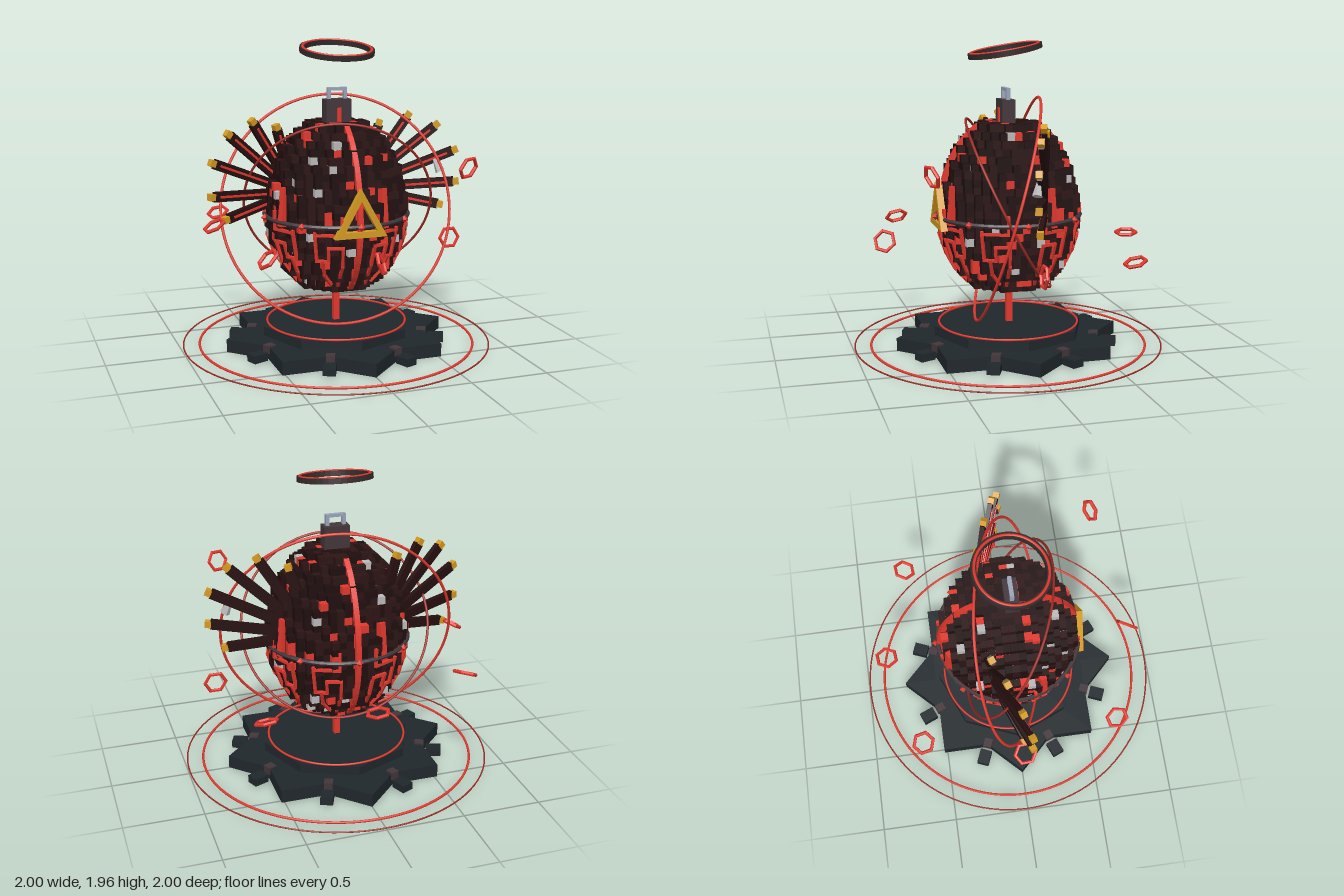
import * as THREE from 'three';
import { mergeGeometries } from 'three/addons/utils/BufferGeometryUtils.js';

const mat = (color, flatShading = true) => new THREE.MeshStandardMaterial({ color, flatShading });
const M = {
  slate: mat(0x20272c), brown: mat(0x43363a), red: mat(0xe2382d), redRound: mat(0xe2382d, false),
  darkRed: mat(0xa02a24, false), shellA: mat(0x2c1414), shellB: mat(0x200e0e), feather: mat(0x271010),
  pale: mat(0xb9b9b9), steel: mat(0x9aa5b8), gold: mat(0xd49a22), halo: mat(0x352a2a),
};
const V = (x, y, z) => new THREE.Vector3(x, y, z);
const Z = V(0, 0, 1);

function add(parent, name, geo, material, x = 0, y = 0, z = 0) {
  const m = new THREE.Mesh(geo, material);
  m.name = name;
  m.position.set(x, y, z);
  parent.add(m);
  return m;
}
const box = (w, h, d, x = 0, y = 0, z = 0) => new THREE.BoxGeometry(w, h, d).translate(x, y, z);

// ring whose axis points along n
function ring(parent, name, r, tube, material, pos, n, radial = 8, segs = 96) {
  const m = add(parent, name, new THREE.TorusGeometry(r, tube, radial, segs), material, ...pos);
  m.quaternion.setFromUnitVectors(Z, V(...n).normalize());
  return m;
}

// square bar from p to q
function bar(p, q, w) {
  const o = new THREE.Object3D();
  o.position.copy(p).lerp(q, 0.5);
  o.lookAt(q);
  o.updateMatrix();
  return new THREE.BoxGeometry(w, w, p.distanceTo(q) + w * 0.8).applyMatrix4(o.matrix);
}

// egg profile and a point on its surface at azimuth a (0 = front)
const eggR = (y) => {
  const t = (y - 0.87) / (y > 0.87 ? 0.62 : 0.54);
  return 0.44 * Math.sqrt(Math.max(0, 1 - t * t));
};
const onEgg = (a, y, lift = 0.02) => {
  const r = eggR(y) + lift;
  return V(Math.sin(a) * r, y, Math.cos(a) * r);
};

function buildBase(g) {
  const base = new THREE.Group();
  base.name = 'base';
  g.add(base);
  add(base, 'baseSquare', box(1.04, 0.085, 1.04), M.slate, 0, 0.0425, 0);
  add(base, 'baseDiamond', box(1.04, 0.084, 1.04), M.slate, 0, 0.0425, 0).rotation.y = Math.PI / 4;
  add(base, 'upperPlate', new THREE.CylinderGeometry(0.49, 0.49, 0.06, 8), M.slate, 0, 0.115, 0);
  for (let i = 0; i < 8; i++) {
    const spoke = new THREE.Group();
    spoke.name = 'baseTeeth';
    spoke.rotation.y = Math.PI / 8 + (i * Math.PI) / 4;
    base.add(spoke);
    add(spoke, 'tooth', box(0.08, 0.05, 0.1), M.slate, 0, 0.035, 0.65);
    add(spoke, 'clamp', box(0.055, 0.05, 0.06), M.brown, 0, 0.07, 0.555);
  }
  ring(base, 'plateRing', 0.45, 0.007, M.redRound, [0, 0.15, 0], [0, 1, 0]);
  ring(base, 'innerGroundRing', 0.89, 0.008, M.redRound, [0, 0.01, 0], [0, 1, 0]);
  ring(base, 'outerGroundRing', 0.994, 0.005, M.darkRed, [0, 0.01, 0], [0, 1, 0]);
  add(base, 'stem', box(0.04, 0.32, 0.04), M.red, 0, 0.3, -0.005);
}

function buildEgg(g) {
  const egg = new THREE.Group();
  egg.name = 'egg';
  g.add(egg);
  // hollow voxel shell sorted into colours
  let seed = 7;
  const rnd = () => ((seed = (seed * 16807) % 2147483647) / 2147483647);
  const s = 0.0455;
  const inside = (i, k, j) => k >= 0 && k < 23 && Math.hypot(i, j) * s <= eggR(0.424 + k * s);
  const cells = { shellA: [], shellB: [], red: [], pale: [] };
  for (let k = 0; k < 23; k++) for (let i = -10; i <= 10; i++) for (let j = -10; j <= 10; j++) {
    if (!inside(i, k, j)) continue;
    if (inside(i + 1, k, j) && inside(i - 1, k, j) && inside(i, k + 1, j) &&
      inside(i, k - 1, j) && inside(i, k, j + 1) && inside(i, k, j - 1)) continue;
    const t = rnd();
    const key = t < 0.05 ? 'red' : t < 0.08 ? 'pale' : t < 0.55 ? 'shellA' : 'shellB';
    const e = s * (key === 'red' || key === 'pale' ? 1.08 : 0.97 + 0.06 * rnd());
    cells[key].push(box(e, e, e, i * s, 0.424 + k * s, j * s));
  }
  for (const key in cells) add(egg, key + 'Cells', mergeGeometries(cells[key]), M[key]);

  // circuit traces: [sideways, height], repeated round the egg and mirrored
  const paths = [
    [[0.1, 0.82], [0.1, 0.64], [0.02, 0.64], [0.02, 0.73], [-0.07, 0.73], [-0.07, 0.6], [-0.04, 0.46]],
    [[0.1, 0.81], [-0.06, 0.81], [-0.06, 0.92]],
    [[0.06, 0.64], [0.06, 0.54], [0.02, 0.47]],
  ];
  const traces = [];
  for (let i = 0; i < 8; i++) {
    const a0 = Math.PI / 8 + (i * Math.PI) / 4, flip = i % 2 ? -1 : 1;
    for (const path of paths) for (let n = 1; n < path.length; n++) {
      const [p, q] = [path[n - 1], path[n]].map(([u, y]) => onEgg(a0 + (flip * u) / 0.44, y));
      traces.push(bar(p, q, 0.018));
    }
    if (i % 2 === 0) traces.push(bar(onEgg(a0, 0.85, 0.005), onEgg(a0, 1.06, 0.005), 0.042));
  }
  // front and back seams
  for (const a of [0, Math.PI]) for (let y = 0.44; y < 1.44; y += 0.05)
    traces.push(bar(onEgg(a, y, 0.006), onEgg(a, y + 0.035, 0.006), 0.034));
  add(egg, 'circuitTraces', mergeGeometries(traces), M.red);

  // belt with studs
  ring(egg, 'belt', 0.46, 0.014, M.brown, [0, 0.86, 0], [0, 1, 0], 6, 48);
  for (let i = 0; i < 8; i++) {
    const a = (i * Math.PI) / 4;
    add(egg, 'beltStud', new THREE.OctahedronGeometry(0.024), M.red, Math.sin(a) * 0.475, 0.86, Math.cos(a) * 0.475);
  }

  // cap and hanging loop
  add(egg, 'cap', box(0.165, 0.145, 0.085), M.brown, 0, 1.52, 0.015);
  add(egg, 'capStripe', box(0.028, 0.12, 0.01), M.red, 0, 1.48, 0.06);
  add(egg, 'loop', mergeGeometries([
    box(0.13, 0.02, 0.026, 0, 1.655, 0.015),
    box(0.022, 0.08, 0.026, -0.054, 1.62, 0.015), box(0.022, 0.08, 0.026, 0.054, 1.62, 0.015),
  ]), M.steel);
}

function buildWing(g, side) {
  const pivot = [0.22, 0.97], slope = 0.4;
  const tips = [[0.74, 0.86], [0.835, 1.02], [0.825, 1.235], [0.71, 1.405], [0.535, 1.47], [0.355, 1.42]];
  const wing = new THREE.Group();
  wing.name = side > 0 ? 'leftWing' : 'rightWing';
  wing.position.set(side * pivot[0], pivot[1], -0.2);
  wing.rotation.y = -side * Math.atan(slope);
  g.add(wing);
  for (const [x, y] of tips) {
    const dx = (x - pivot[0]) * Math.hypot(1, slope), dy = y - pivot[1];
    const len = Math.hypot(dx, dy);
    const f = new THREE.Group();
    f.name = 'feather';
    f.rotation.z = -side * Math.atan2(dx, dy);
    wing.add(f);
    add(f, 'featherVane', box(0.062, len - 0.03, 0.03), M.feather, 0, (len - 0.03) / 2, 0);
    add(f, 'featherStripe', box(0.014, len - 0.14, 0.012), M.red, 0, len / 2, 0.016);
    add(f, 'featherTip', box(0.042, 0.04, 0.04), M.gold, 0, len - 0.015, 0);
  }
}

function buildWarningSign(g) {
  const tri = (k) => [[-0.168, -0.1], [0.168, -0.1], [0, 0.2]].map(([x, y]) => new THREE.Vector2(x * k, y * k));
  const shape = new THREE.Shape(tri(1));
  shape.holes.push(new THREE.Path(tri(0.62).reverse()));
  const geo = new THREE.ExtrudeGeometry(shape, { depth: 0.045, bevelEnabled: false });
  add(g, 'triangleFrame', geo, M.gold, 0, 0.895, 0.43);
}

export function createModel() {
  const g = new THREE.Group();
  g.name = 'winged egg on pedestal';
  buildBase(g);
  buildEgg(g);
  buildWing(g, 1);
  buildWing(g, -1);
  buildWarningSign(g);

  // orbit rings
  ring(g, 'largeOrbit', 0.74, 0.009, M.redRound, [0, 0.89, 0.01], [-0.19, 0.28, 0.94]);
  ring(g, 'smallOrbit', 0.6, 0.008, M.darkRed, [0.01, 0.93, 0], [-0.24, -0.45, 0.86]);

  // tilted halo
  const halo = new THREE.Group();
  halo.name = 'halo';
  halo.position.set(0, 1.897, 0.02);
  halo.rotation.x = 0.17;
  g.add(halo);
  const band = [[0.203, -0.016], [0.236, -0.016], [0.236, 0.016], [0.203, 0.016], [0.203, -0.016]];
  add(halo, 'haloBand', new THREE.LatheGeometry(band.map((p) => new THREE.Vector2(...p)), 40), M.halo);
  ring(halo, 'haloGlow', 0.217, 0.009, M.redRound, [0, 0.014, 0], [0, 1, 0]);
  ring(halo, 'haloGlowUnder', 0.217, 0.007, M.redRound, [0, -0.013, 0], [0, 1, 0]);

  // floating hexagons: position, facing
  const hexes = [
    [[0.8, 0.63, 0], [0, 0.1, 1]], [[-0.8, 0.83, 0], [-0.45, 0.85, 0.1]],
    [[0, 0.72, 0.8], [0.8, 0.35, 0.45]], [[0, 0.69, -0.81], [0.1, 1, 0.05]],
    [[0.63, 1.215, 0.62], [0.35, -0.3, 0.9]], [[-0.63, 0.755, 0.62], [-0.65, 0.7, 0.1]],
    [[-0.63, 0.775, -0.63], [-0.3, 0.9, 0.3]], [[0.63, 0.64, -0.63], [0.1, 0.95, 0.3]],
  ];
  for (const [p, n] of hexes) ring(g, 'floatingHexagon', 0.067, 0.012, M.red, p, n, 6, 6);

  // small pale tag on the left wing
  const tag = add(g, 'wingTag', new THREE.CylinderGeometry(0.012, 0.032, 0.09, 6), M.pale, 0.7, 1.13, 0.01);
  tag.rotation.set(-0.25, 0, 0.4);
  return g;
}
